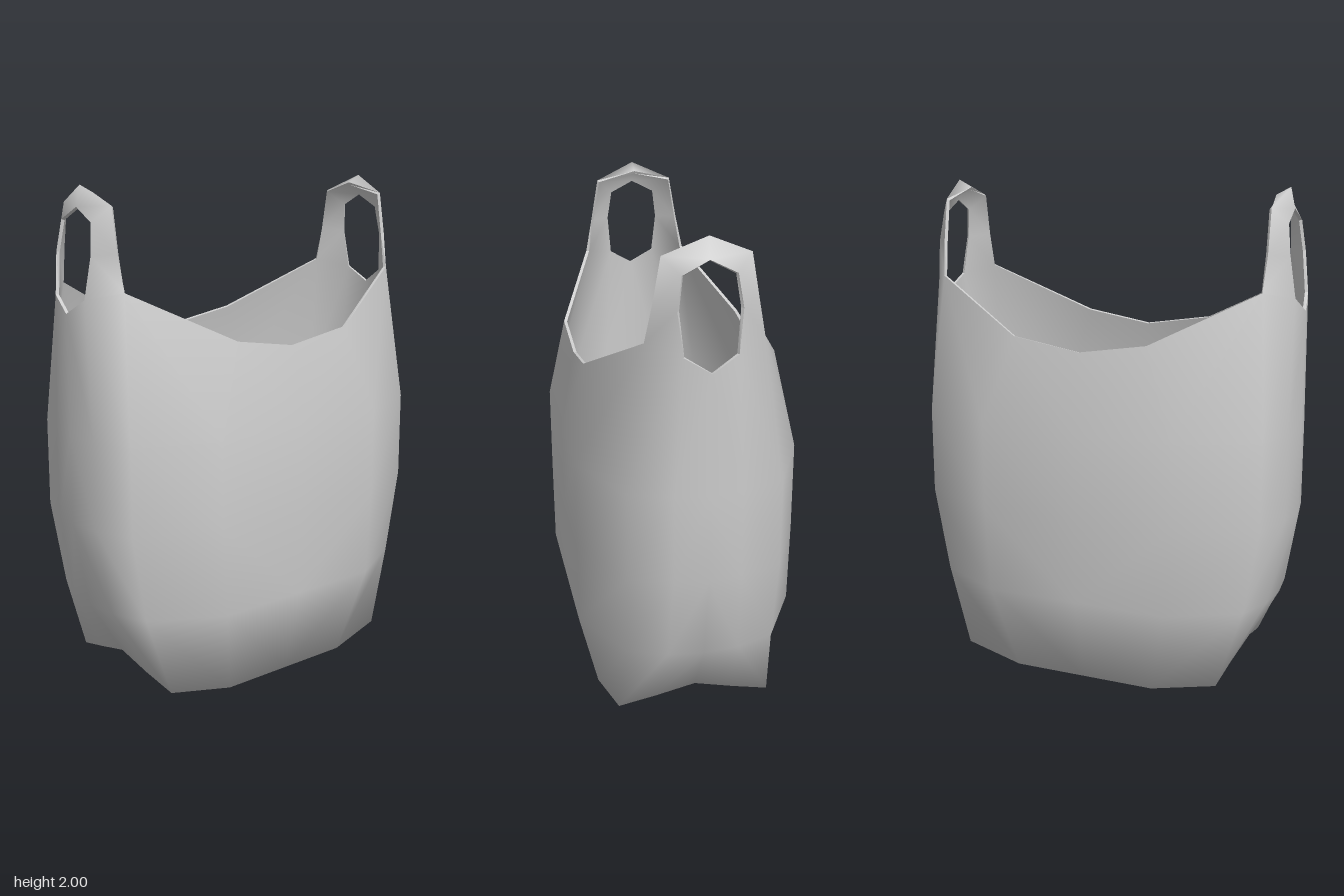
import * as THREE from 'three';
import { mergeVertices } from 'three/addons/utils/BufferGeometryUtils.js';

const THICKNESS = 0.013;

// One quarter of the bag wall (+x, +z): rows go up, columns go from front centre to side centre.
const rows = [
  [[0, 0.12, 0.58], [0.16, 0.08, 0.575], [0.31, 0.04, 0.56], [0.355, 0, 0.3], [0.355, 0, 0]],
  [[0, 0.36, 0.73], [0.14, 0.36, 0.715], [0.29, 0.36, 0.66], [0.44, 0.36, 0.38], [0.44, 0.36, 0]],
  [[0, 0.71, 0.795], [0.13, 0.71, 0.775], [0.295, 0.71, 0.72], [0.44, 0.71, 0.4], [0.44, 0.71, 0]],
  [[0, 1.06, 0.795], [0.13, 1.06, 0.775], [0.295, 1.06, 0.72], [0.44, 1.06, 0.4], [0.44, 1.06, 0]],
  [[0, 1.53, 0.795], [0.1, 1.59, 0.777], [0.22, 1.62, 0.68], [0.38, 1.42, 0.28], [0.38, 1.375, 0]],
];

// Half of the handle: [hole edge, outer edge] pairs from its base to its top.
const handle = [
  [rows[4][1], rows[4][2]],
  [[0.118, 1.75, 0.757], [0.192, 1.76, 0.69]],
  [[0.1, 1.87, 0.742], [0.162, 1.93, 0.69]],
  [[0, 1.92, 0.738], [0, 2, 0.72]],
];

function quarterTriangles() {
  const tris = [];
  const quad = (a, b, c, d) => tris.push([a, b, d], [b, c, d]);
  for (let r = 0; r < rows.length - 1; r++) {
    for (let c = 0; c < 4; c++) quad(rows[r][c], rows[r][c + 1], rows[r + 1][c + 1], rows[r + 1][c]);
  }
  for (let i = 0; i < handle.length - 1; i++) {
    quad(handle[i][0], handle[i][1], handle[i + 1][1], handle[i + 1][0]);
  }
  // curled lip on top of the handle
  tris.push([handle[2][1], [0, 1.97, 0.663], handle[3][1]]);
  // folded-in base with a raised centre line
  const foldEnd = [0, 0.06, 0.3], foldMid = [0, 0.06, 0];
  const [b0, b1, b2, b3, b4] = rows[0];
  tris.push([b1, b0, foldEnd], [b2, b1, foldEnd], [b3, b2, foldEnd], [b4, b3, foldEnd], [b4, foldEnd, foldMid]);
  return tris;
}

// Mirror the quarter across x and z and weld it into one smooth skin.
function outerSkin() {
  const pos = [];
  for (const sx of [1, -1]) {
    for (const sz of [1, -1]) {
      for (const t of quarterTriangles()) {
        const order = sx * sz > 0 ? t : [t[0], t[2], t[1]];
        for (const [x, y, z] of order) pos.push(x * sx + 0, y, z * sz + 0);
      }
    }
  }
  const geo = new THREE.BufferGeometry();
  geo.setAttribute('position', new THREE.Float32BufferAttribute(pos, 3));
  const welded = mergeVertices(geo, 1e-4);
  welded.computeVertexNormals();
  return welded;
}

// The same skin moved inwards and turned around.
function innerSkin(outer) {
  const geo = outer.clone();
  const p = geo.attributes.position, n = outer.attributes.normal;
  for (let i = 0; i < p.count; i++) {
    p.setXYZ(i, p.getX(i) - n.getX(i) * THICKNESS, p.getY(i) - n.getY(i) * THICKNESS, p.getZ(i) - n.getZ(i) * THICKNESS);
  }
  const idx = Array.from(outer.index.array);
  geo.setIndex(idx.reverse());
  geo.computeVertexNormals();
  return geo;
}

// Narrow strip joining both skins along every open edge.
function edgeStrip(outer, inner) {
  const idx = outer.index.array, edges = new Set(), pos = [];
  const each = (fn) => {
    for (let i = 0; i < idx.length; i += 3) {
      for (let k = 0; k < 3; k++) fn(idx[i + k], idx[i + (k + 1) % 3]);
    }
  };
  each((a, b) => edges.add(a + '_' + b));
  const put = (geo, i) => {
    const p = geo.attributes.position;
    pos.push(p.getX(i), p.getY(i), p.getZ(i));
  };
  each((a, b) => {
    if (edges.has(b + '_' + a)) return;
    put(outer, b); put(outer, a); put(inner, a);
    put(outer, b); put(inner, a); put(inner, b);
  });
  const geo = new THREE.BufferGeometry();
  geo.setAttribute('position', new THREE.Float32BufferAttribute(pos, 3));
  geo.computeVertexNormals();
  return geo;
}

export function createModel() {
  const group = new THREE.Group();
  group.name = 'carrierBag';
  const material = new THREE.MeshStandardMaterial({ color: 0xcccccc });
  const outer = outerSkin();
  const inner = innerSkin(outer);
  const parts = { outerSkin: outer, innerSkin: inner, rimAndHandleEdges: edgeStrip(outer, inner) };
  for (const [name, geo] of Object.entries(parts)) {
    const mesh = new THREE.Mesh(geo, material);
    mesh.name = name;
    group.add(mesh);
  }
  return group;
}
